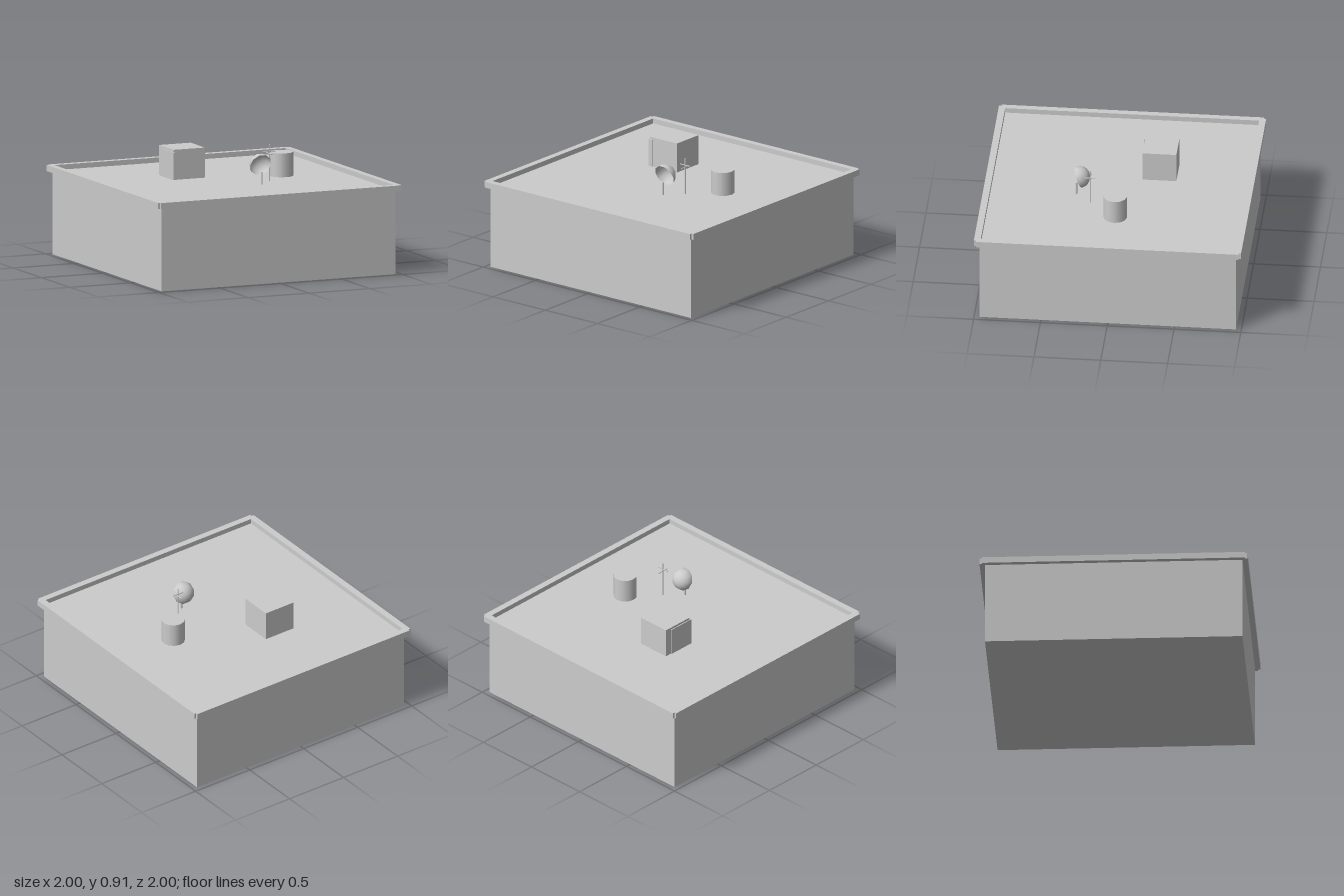
import * as THREE from 'three';

const material = new THREE.MeshStandardMaterial({ color: 0xcccccc });
const thinMaterial = new THREE.MeshStandardMaterial({ color: 0xcccccc, side: THREE.DoubleSide });
const DECK = 0.635; // height of the roof deck
const RIM_TOP = 0.673;

export function createModel() {
  const model = new THREE.Group();
  model.name = 'flatRoofBuilding';

  const add = (parent, name, geometry, x, y, z, mat = material) => {
    const mesh = new THREE.Mesh(geometry, mat);
    mesh.name = name;
    mesh.position.set(x, y, z);
    parent.add(mesh);
    return mesh;
  };
  // Box given by its extents on each axis
  const box = (parent, name, [x0, x1], [y0, y1], [z0, z1]) =>
    add(parent, name, new THREE.BoxGeometry(x1 - x0, y1 - y0, z1 - z0),
      (x0 + x1) / 2, (y0 + y1) / 2, (z0 + z1) / 2);
  const group = (name) => {
    const g = new THREE.Group();
    g.name = name;
    model.add(g);
    return g;
  };

  // Main block, its top is the roof deck
  box(model, 'building', [-0.96, 0.96], [0, DECK], [-0.96, 0.96]);

  // Raised rim: four bars crossing at the corners, leaving small notches
  const rim = group('roofRim');
  for (const [name, turn] of [['rimFront', 0], ['rimLeft', 1], ['rimBack', 2], ['rimRight', 3]]) {
    const side = new THREE.Group();
    side.name = name + 'Side';
    side.rotation.y = turn * Math.PI / 2;
    box(side, name, [-0.982, 0.982], [0.627, RIM_TOP], [0.95, 1]);
    rim.add(side);
  }

  // Stair hut with a door panel on its right side
  const hut = group('roofHut');
  box(hut, 'hutBox', [-0.34, -0.082], [DECK, 0.862], [-0.414, -0.16]);
  box(hut, 'hutPanel', [-0.347, -0.315], [DECK, 0.845], [-0.36, -0.15]);

  // Water tank
  add(model, 'waterTank', new THREE.CylinderGeometry(0.088, 0.088, 0.815 - DECK, 12),
    0.477, (0.815 + DECK) / 2, -0.01);

  // Dish: half sphere on a short post, its opening towards the front and slightly down
  const dish = group('dishAntenna');
  const bowl = add(dish, 'dishBowl',
    new THREE.SphereGeometry(0.086, 10, 5, 0, Math.PI * 2, 0, Math.PI / 2),
    0.165, 0.78, 0.293, thinMaterial);
  bowl.rotation.x = -1.2;
  add(dish, 'dishPost', new THREE.CylinderGeometry(0.007, 0.007, 0.73 - DECK, 8),
    0.166, (0.73 + DECK) / 2, 0.31);

  // Mast with two crossbars
  const mast = group('mastAntenna');
  const [mx, mz] = [0.283, 0.193];
  add(mast, 'mastPole', new THREE.CylinderGeometry(0.005, 0.005, 0.91 - DECK, 8),
    mx, (0.91 + DECK) / 2, mz);
  const bar = new THREE.CylinderGeometry(0.004, 0.004, 0.094, 8);
  add(mast, 'crossbarWide', bar, mx, 0.86, mz).rotation.z = Math.PI / 2;
  add(mast, 'crossbarDeep', bar, mx, 0.843, mz).rotation.x = Math.PI / 2;

  return model;
}
